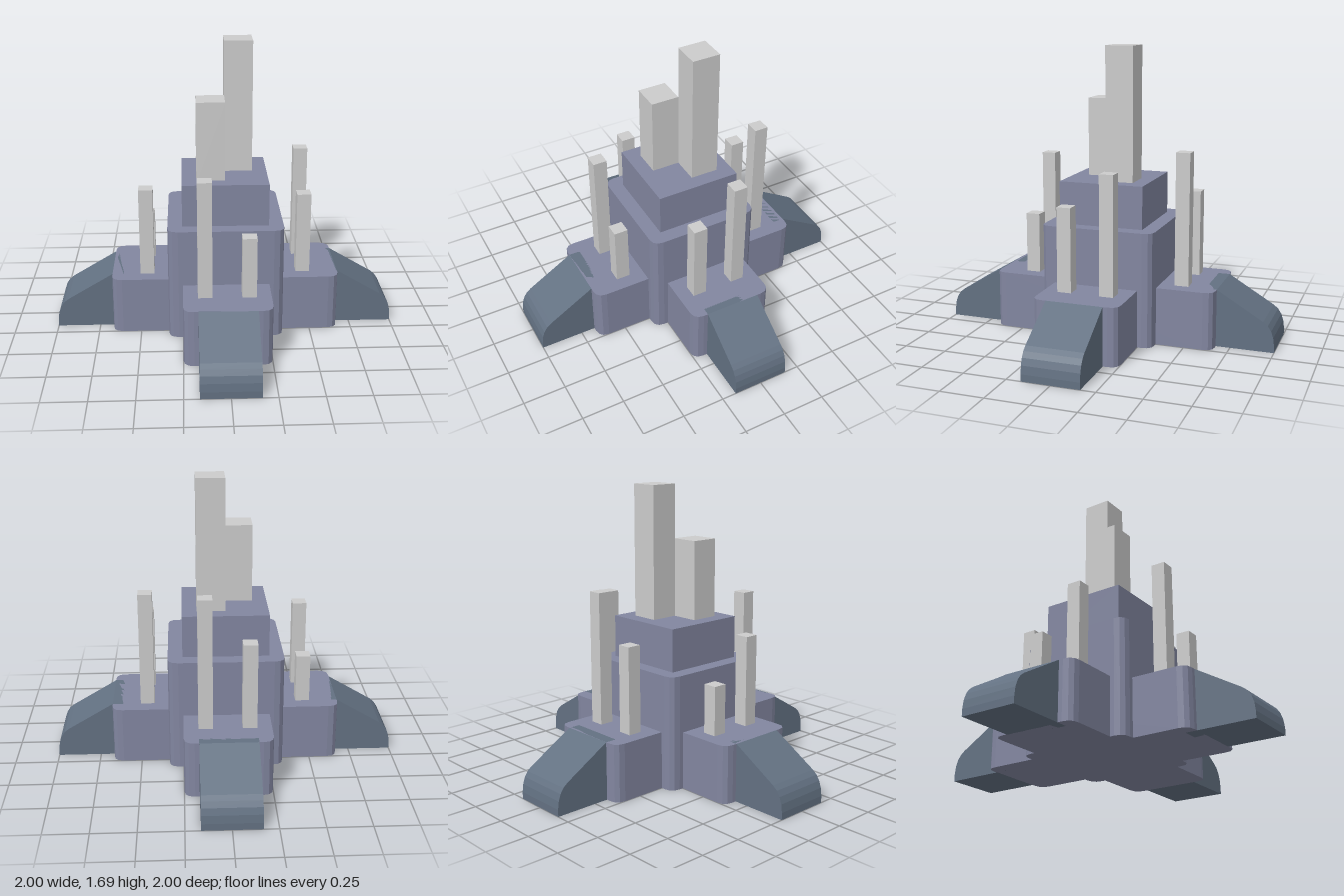
import * as THREE from 'three';

const stone = new THREE.MeshStandardMaterial({ color: 0x8286a0, flatShading: true });
const slate = new THREE.MeshStandardMaterial({ color: 0x637182, flatShading: true });
const grey = new THREE.MeshStandardMaterial({ color: 0xcccccc, flatShading: true });

// Upright slab with rounded plan corners, standing on y = 0
function roundedSlab(name, halfX, halfZ, height, r) {
  const s = new THREE.Shape();
  s.moveTo(-halfX + r, -halfZ);
  s.lineTo(halfX - r, -halfZ);
  s.quadraticCurveTo(halfX, -halfZ, halfX, -halfZ + r);
  s.lineTo(halfX, halfZ - r);
  s.quadraticCurveTo(halfX, halfZ, halfX - r, halfZ);
  s.lineTo(-halfX + r, halfZ);
  s.quadraticCurveTo(-halfX, halfZ, -halfX, halfZ - r);
  s.lineTo(-halfX, -halfZ + r);
  s.quadraticCurveTo(-halfX, -halfZ, -halfX + r, -halfZ);
  const g = new THREE.ExtrudeGeometry(s, { depth: height, bevelEnabled: false, curveSegments: 3 });
  g.rotateX(-Math.PI / 2);
  const mesh = new THREE.Mesh(g, stone);
  mesh.name = name;
  return mesh;
}

// Box between two heights
function block(name, x, z, width, y0, y1, material) {
  const mesh = new THREE.Mesh(new THREE.BoxGeometry(width, y1 - y0, width), material);
  mesh.position.set(x, (y0 + y1) / 2, z);
  mesh.name = name;
  return mesh;
}

// Sloping foot running outwards along +x, with a rounded toe
function footGeometry() {
  const s = new THREE.Shape();
  s.moveTo(0.6, 0);
  s.lineTo(1, 0);
  s.lineTo(1, 0.04);
  s.quadraticCurveTo(0.995, 0.14, 0.935, 0.175);
  s.lineTo(0.667, 0.335);
  s.lineTo(0.6, 0.335);
  const g = new THREE.ExtrudeGeometry(s, { depth: 0.33, bevelEnabled: false, curveSegments: 4 });
  return g.translate(0, 0, -0.165);
}

export function createModel() {
  const model = new THREE.Group();
  model.name = 'towerBase';

  // Crossed base and stepped core
  model.add(roundedSlab('sideArms', 0.667, 0.25, 0.335, 0.06));
  model.add(roundedSlab('frontBackArms', 0.25, 0.667, 0.335, 0.06));
  model.add(roundedSlab('core', 0.335, 0.335, 0.667, 0.06));
  model.add(block('upperCore', 0, 0, 0.5, 0.66, 0.915, stone));

  // Four feet
  const foot = footGeometry();
  ['leftFoot', 'backFoot', 'rightFoot', 'frontFoot'].forEach((name, i) => {
    const mesh = new THREE.Mesh(foot, slate);
    mesh.rotation.y = i * Math.PI / 2;
    mesh.name = name;
    model.add(mesh);
  });

  // Two main towers
  model.add(block('tallTower', 0.0825, -0.0825, 0.165, 0.9, 1.69, grey));
  model.add(block('shortTower', -0.0825, 0.0825, 0.165, 0.9, 1.375, grey));

  // Slim towers in pairs on the arms: x, z, top height
  const a = 0.46, b = 0.125;
  [
    [-b, a, 1.02], [b, a, 0.69],
    [a, b, 0.82], [a, -b, 1.02],
    [b, -a, 1.105], [-b, -a, 0.84],
    [-a, -b, 0.62], [-a, b, 0.86],
  ].forEach(([x, z, top], i) => model.add(block(`slimTower${i + 1}`, x, z, 0.082, 0.33, top, grey)));

  return model;
}
